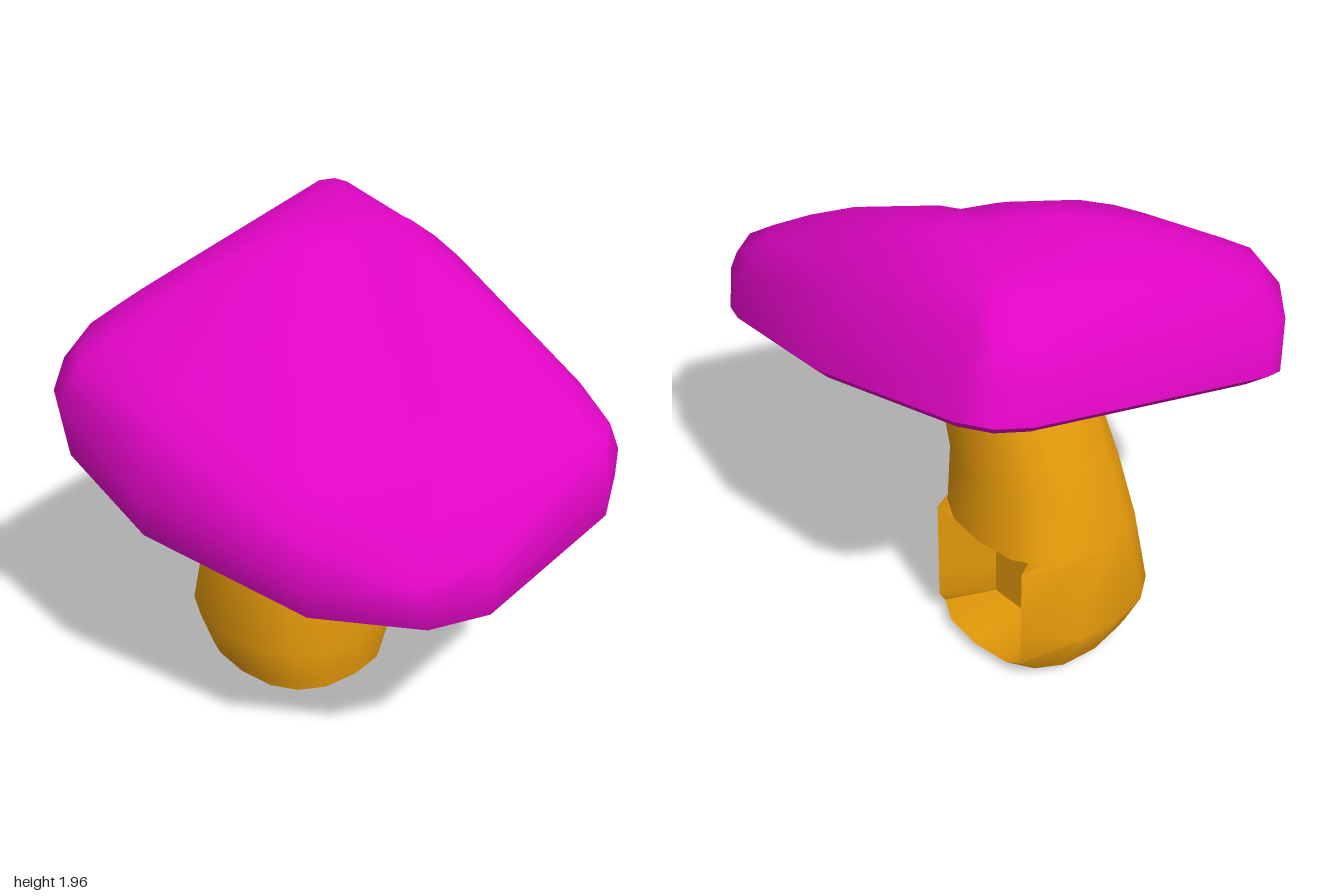
import * as THREE from 'three';
import { toCreasedNormals } from 'three/addons/utils/BufferGeometryUtils.js';

// Skin equal-length rings (bottom to top, counterclockwise from above), closing both ends with fans
function loft(rings, crease) {
  const n = rings[0].length;
  const pos = [], idx = [];
  rings.forEach(r => r.forEach(p => pos.push(p.x, p.y, p.z)));
  for (let k = 0; k < rings.length - 1; k++) {
    for (let i = 0; i < n; i++) {
      const a = k * n + i, b = k * n + (i + 1) % n;
      idx.push(a, b, b + n, a, b + n, a + n);
    }
  }
  const close = (k, flip) => {
    const c = new THREE.Vector3();
    rings[k].forEach(p => c.addScaledVector(p, 1 / n));
    const m = pos.length / 3;
    pos.push(c.x, c.y, c.z);
    for (let i = 0; i < n; i++) {
      const a = k * n + i, b = k * n + (i + 1) % n;
      if (flip) idx.push(b, a, m); else idx.push(a, b, m);
    }
  };
  close(0, true);
  close(rings.length - 1, false);
  const g = new THREE.BufferGeometry();
  g.setAttribute('position', new THREE.Float32BufferAttribute(pos, 3));
  g.setIndex(idx);
  return toCreasedNormals(g, crease);
}

// Cap: irregular outline on a tilted plane, a wall rolling into a shoulder, then a dome
function capGeometry() {
  // rim x, z, wall height, then the shoulder corner x, y, z
  const outline = [
    [-0.74, -0.845, 0.18, -0.68, 1.88, -0.69], [-0.02, -0.86, 0.18, 0, 1.72, -0.71],
    [0.70, -0.69, 0.2, 0.66, 1.49, -0.61], [0.85, -0.62, 0.2, 0.85, 1.41, -0.56],
    [0.94, -0.46, 0.2, 0.94, 1.40, -0.43], [0.91, 0.14, 0.18, 0.92, 1.18, 0.15],
    [0.79, 0.34, 0.17, 0.80, 1.09, 0.38], [0.44, 0.60, 0.2, 0.42, 1.24, 0.63],
    [-0.26, 0.78, 0.27, -0.20, 1.48, 0.75], [-0.75, 0.74, 0.32, -0.65, 1.57, 0.73],
    [-0.83, 0.70, 0.32, -0.74, 1.58, 0.68], [-0.99, 0.54, 0.24, -0.85, 1.60, 0.53],
    [-1.01, 0.44, 0.2, -0.85, 1.63, 0.40], [-0.93, -0.67, 0.16, -0.84, 1.84, -0.62],
    [-0.87, -0.79, 0.16, -0.80, 1.84, -0.71],
  ].reverse();
  const normal = new THREE.Vector3(0.24, 1, 0.3).normalize();
  const onPlane = (x, z, h) =>
    new THREE.Vector3(x, 1.15 - 0.24 * x - 0.3 * z, z).addScaledVector(normal, h);
  const apex = new THREE.Vector3(-0.3, 1.95, -0.33);

  const under = outline.map(([x, z]) => onPlane(x * 0.93, z * 0.93, 0));
  const rim = outline.map(([x, z]) => onPlane(x, z, 0.04));
  const wall = outline.map(([x, z, h]) => onPlane(x, z, h));
  const shoulder = outline.map(([, , , x, y, z]) => new THREE.Vector3(x, y, z));
  // fraction of the way to the apex, bulge
  const dome = [[0.12, 0.035], [0.3, 0.075], [0.5, 0.1], [0.7, 0.095], [0.85, 0.065]].map(([t, bulge]) =>
    shoulder.map(p => {
      const q = p.clone().lerp(apex, t);
      q.y = Math.min(q.y + bulge, 1.96);
      return q;
    }));
  return loft([under, rim, wall, shoulder, ...dome], 0.9);
}

// Stem: leaning rounded-square sections with a pocket cut into the back
function stemGeometry() {
  // y, xMin, xMax, zMin, zMax, inside pocket
  const sections = [
    [0, -0.52, -0.16, -0.26, 0.12, false],
    [0.05, -0.70, 0.0, -0.41, 0.25, false],
    [0.11, -0.73, 0.01, -0.42, 0.27, true],
    [0.25, -0.79, 0.03, -0.44, 0.305, true],
    [0.58, -0.72, -0.015, -0.40, 0.265, true],
    [0.60, -0.715, -0.015, -0.40, 0.26, false],
    [0.85, -0.64, -0.015, -0.365, 0.22, false],
    [1.05, -0.55, 0.05, -0.345, 0.2, false],
    [1.42, -0.40, 0.18, -0.33, 0.18, false],
  ];
  // column: x, z of the pocket's edges and inner wall
  const pocket = {
    2: [-0.09, -0.365], 3: [-0.23, -0.18], 4: [-0.365, -0.18], 5: [-0.5, -0.18], 6: [-0.6, -0.395],
  };
  const soft = v => Math.sign(v) * Math.abs(v) ** 0.8;
  const rings = sections.map(([y, x0, x1, z0, z1, cut]) =>
    Array.from({ length: 16 }, (_, i) => {
      if (cut && i in pocket) return new THREE.Vector3(pocket[i][0], y, pocket[i][1]);
      const a = i / 16 * Math.PI * 2;
      return new THREE.Vector3(
        (x0 + x1) / 2 + (x1 - x0) / 2 * soft(Math.cos(a)), y,
        (z0 + z1) / 2 - (z1 - z0) / 2 * soft(Math.sin(a)));
    }));
  return loft(rings, 0.7);
}

export function createModel() {
  const group = new THREE.Group();
  const add = (name, geometry, color) => {
    const mesh = new THREE.Mesh(geometry, new THREE.MeshStandardMaterial({ color }));
    mesh.name = name;
    group.add(mesh);
  };
  add('cap', capGeometry(), 0xe005c4);
  add('stem', stemGeometry(), 0xe59a0a);
  return group;
}
